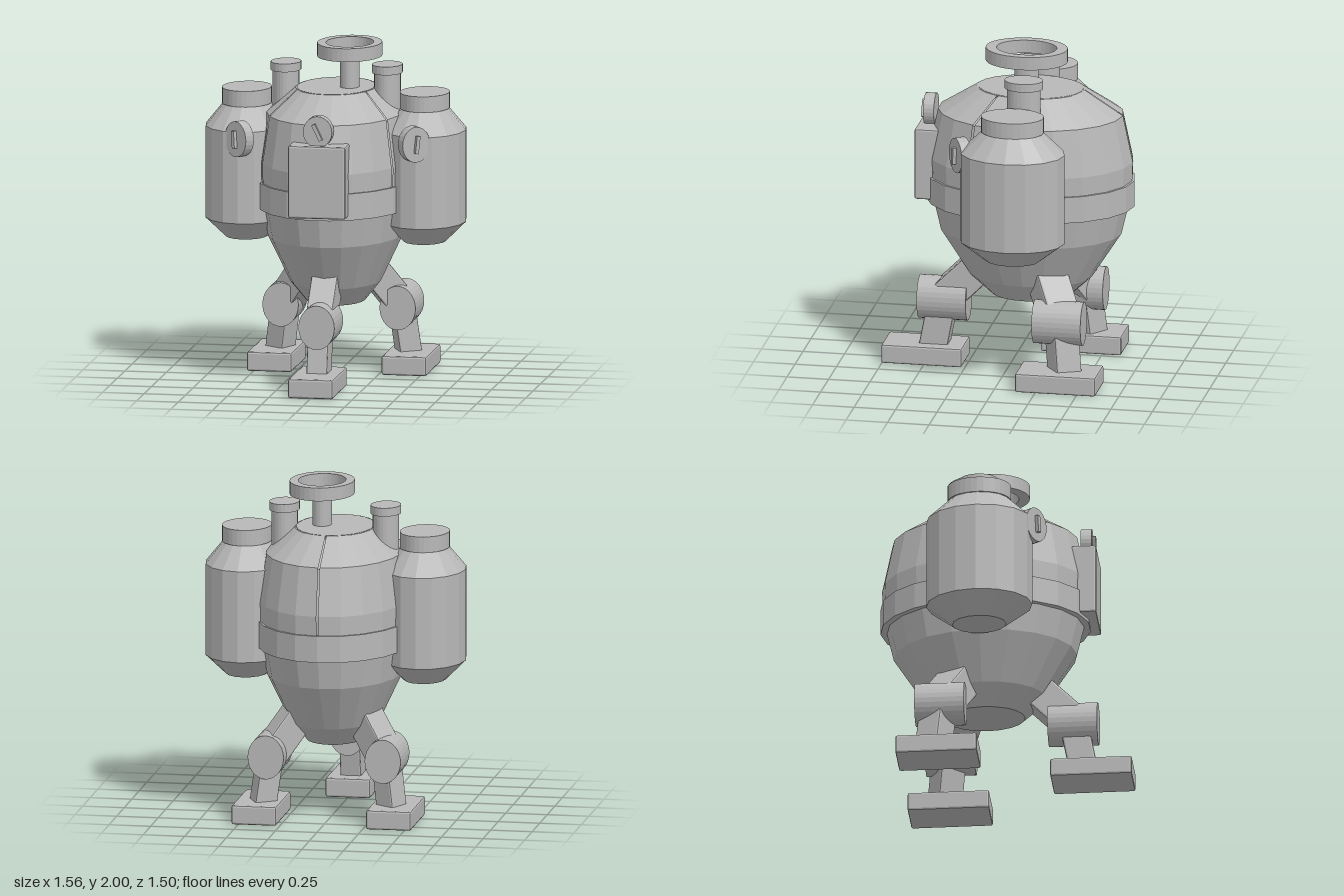
import * as THREE from 'three';
import { RoundedBoxGeometry } from 'three/addons/geometries/RoundedBoxGeometry.js';

const SQUASH = 0.78; // round parts are narrower in x than in z
const MID = -0.115;  // z of the vertical axis of the hull

export function createModel() {
  const model = new THREE.Group();
  const grey = new THREE.MeshStandardMaterial({ color: 0xb8b8b8, flatShading: true, side: THREE.DoubleSide });
  grey.name = 'grey';

  const add = (name, geometry, parent = model) => {
    const mesh = new THREE.Mesh(geometry, grey);
    mesh.name = name;
    parent.add(mesh);
    return mesh;
  };
  // lathe with an oval plan, from [radius, y] points listed upwards
  const oval = (points, segments, x, z, squash = SQUASH, start = 0, length = Math.PI * 2) =>
    new THREE.LatheGeometry(points.map(p => new THREE.Vector2(...p)), segments, start, length)
      .scale(squash, 1, 1).translate(x, 0, z);

  // hull: lower bowl, inner core, three outer plates with thin seams, belt
  const HULL = 0.735, HZ = -0.125;
  add('lowerHull', oval([[0, 0.45], [0.235, 0.45], [0.365, 0.57], [0.545, 0.85], [0.59, 1.04], [0, 1.04]], 20, 0, HZ, HULL));
  add('hullCore', oval([[0.57, 1.04], [0.59, 1.3], [0.53, 1.57], [0.315, 1.71], [0.315, 1.732], [0, 1.732]], 21, 0, HZ, HULL));
  const gap = 0.012;
  for (let i = 0; i < 3; i++) {
    add('hullPlate', oval([[0.605, 1.04], [0.615, 1.3], [0.555, 1.585], [0.325, 1.73], [0.3, 1.73]], 7, 0, HZ, HULL,
      Math.PI + i * Math.PI * 2 / 3 + gap, Math.PI * 2 / 3 - 2 * gap));
  }
  add('belt', oval([[0.57, 1.025], [0.625, 1.025], [0.625, 1.185], [0.6, 1.185]], 21, 0, HZ, HULL, Math.PI));

  // hand wheel on an off-centre post
  add('wheelPost', oval([[0.073, 1.7], [0.073, 1.945], [0, 1.945]], 24, 0.083, MID));
  add('wheelRim', oval([[0.18, 1.92], [0.245, 1.92], [0.245, 2], [0.18, 2], [0.18, 1.92]], 36, 0.083, MID));

  // disc with a slanted grip bar, facing +z
  function dial(name, x, y, z, yaw, rx, ry, tilt) {
    const group = new THREE.Group();
    group.name = name;
    group.position.set(x, y, z);
    group.rotation.y = yaw;
    add('dialDisc', new THREE.CylinderGeometry(1, 1, 0.065, 24).rotateX(Math.PI / 2).scale(rx, ry, 1), group);
    add('dialGrip', new THREE.BoxGeometry(0.022, 0.105, 0.04).rotateZ(tilt).translate(0, 0, 0.035), group);
    model.add(group);
  }
  dial('frontDial', 0, 1.56, 0.478, 0, 0.087, 0.095, 0.45);

  // front hatch box
  add('frontBox', new RoundedBoxGeometry(0.345, 0.435, 0.16, 1, 0.012).translate(0, 1.262, 0.467));

  // side tanks, their caps, pipes and dials
  for (const s of [1, -1]) {
    add('tank', oval([[0, 0.82], [0.16, 0.82], [0.315, 0.94], [0.315, 1.49], [0.18, 1.62], [0, 1.62]], 16, s * 0.535, MID));
    add('tankCap', oval([[0, 1.62], [0.188, 1.62], [0.188, 1.715], [0, 1.715]], 32, s * 0.535, MID));
    add('pipe', oval([[0.1, 1.45], [0.1, 1.82]], 24, s * 0.305, -0.14));
    add('pipeCap', oval([[0, 1.82], [0.115, 1.82], [0.115, 1.87], [0, 1.87]], 24, s * 0.305, -0.14));
    dial('tankDial', s * 0.525, 1.453, 0.2, s * 0.63, 0.09, 0.107, s > 0 ? -0.12 : 0.08);
  }

  // square bar between two [radius, y] points of a leg plane turned by yaw
  function legBar(name, width, depth, [r0, y0], [r1, y1], yaw) {
    const length = Math.hypot(r1 - r0, y1 - y0);
    add(name, new RoundedBoxGeometry(width, length, depth, 1, 0.012)
      .rotateX(Math.atan2(r0 - r1, y0 - y1))
      .translate(0, (y0 + y1) / 2, (r0 + r1) / 2)
      .rotateY(yaw).scale(SQUASH, 1, 1).translate(0, 0, MID));
  }
  // three legs: one in front, two behind
  for (const i of [0, 1, -1]) {
    const yaw = i * Math.PI * 2 / 3;
    legBar('upperLeg', 0.2, 0.2, [0.29, 0.615], [0.51, 0.395], yaw);
    legBar('lowerLeg', 0.16, 0.17, [0.525, 0.34], [0.575, 0.08], yaw);
    add('knee', new THREE.CylinderGeometry(0.132, 0.132, 0.295, 28).rotateX(Math.PI / 2)
      .scale(0.82, 1, 1).translate(i * 0.352, 0.39, i ? -0.362 : 0.398));
    add('foot', new RoundedBoxGeometry(0.27, 0.115, 0.485, 1, 0.012)
      .translate(i * 0.405, 0.0575, i ? -0.372 : 0.512));
  }
  return model;
}
